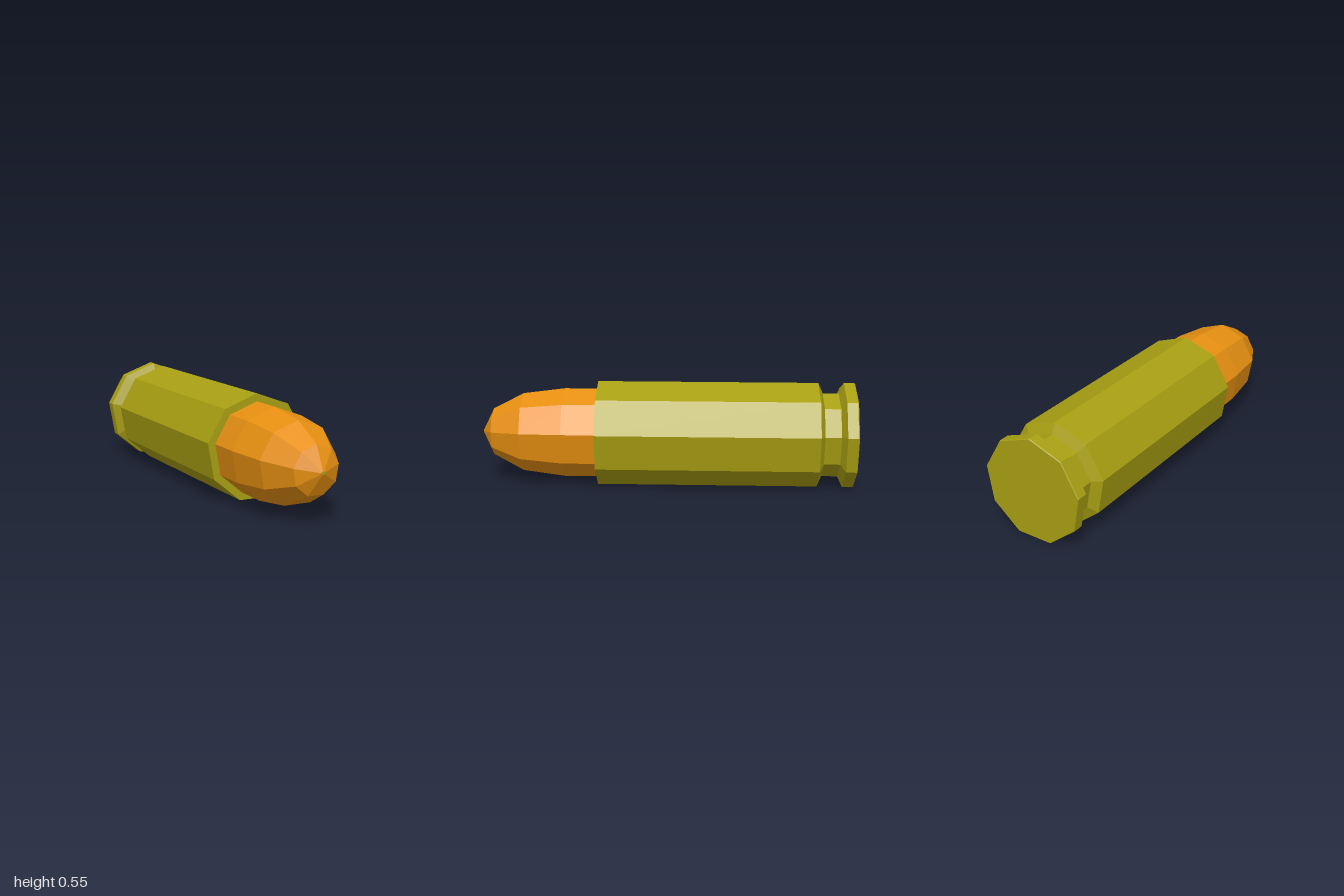
import * as THREE from 'three';

const SIDES = 9;
const CENTRE_Y = 0.265;

// Nine-sided turned part along z; profile is [radius, z] from back to front
function turned(name, profile, material) {
  const points = profile.map(([r, z]) => new THREE.Vector2(r, z));
  // Starting at PI puts one corner straight up once the axis lies along z
  const geometry = new THREE.LatheGeometry(points, SIDES, Math.PI);
  geometry.rotateX(Math.PI / 2);
  const mesh = new THREE.Mesh(geometry, material);
  mesh.name = name;
  mesh.position.y = CENTRE_Y;
  return mesh;
}

export function createModel() {
  const brass = new THREE.MeshStandardMaterial({ color: 0xa89f12, flatShading: true });
  const copper = new THREE.MeshStandardMaterial({ color: 0xe68f11, flatShading: true });

  const model = new THREE.Group();
  model.name = 'cartridge';

  // Case: closed base, rim, extractor groove, straight body and mouth
  model.add(turned('case', [
    [0, -1], [0.279, -1], [0.282, -0.995], [0.282, -0.94],
    [0.226, -0.915], [0.226, -0.83],
    [0.282, -0.805], [0.282, 0.37], [0, 0.37],
  ], brass));

  // Bullet: short straight shank, then a curved nose
  model.add(turned('bullet', [
    [0.241, 0.37], [0.241, 0.55], [0.212, 0.775], [0.126, 0.94], [0.01, 0.998],
  ], copper));

  // Tiny blunt point
  model.add(turned('tip', [[0.01, 0.998], [0.009, 1], [0, 1]], brass));

  return model;
}
